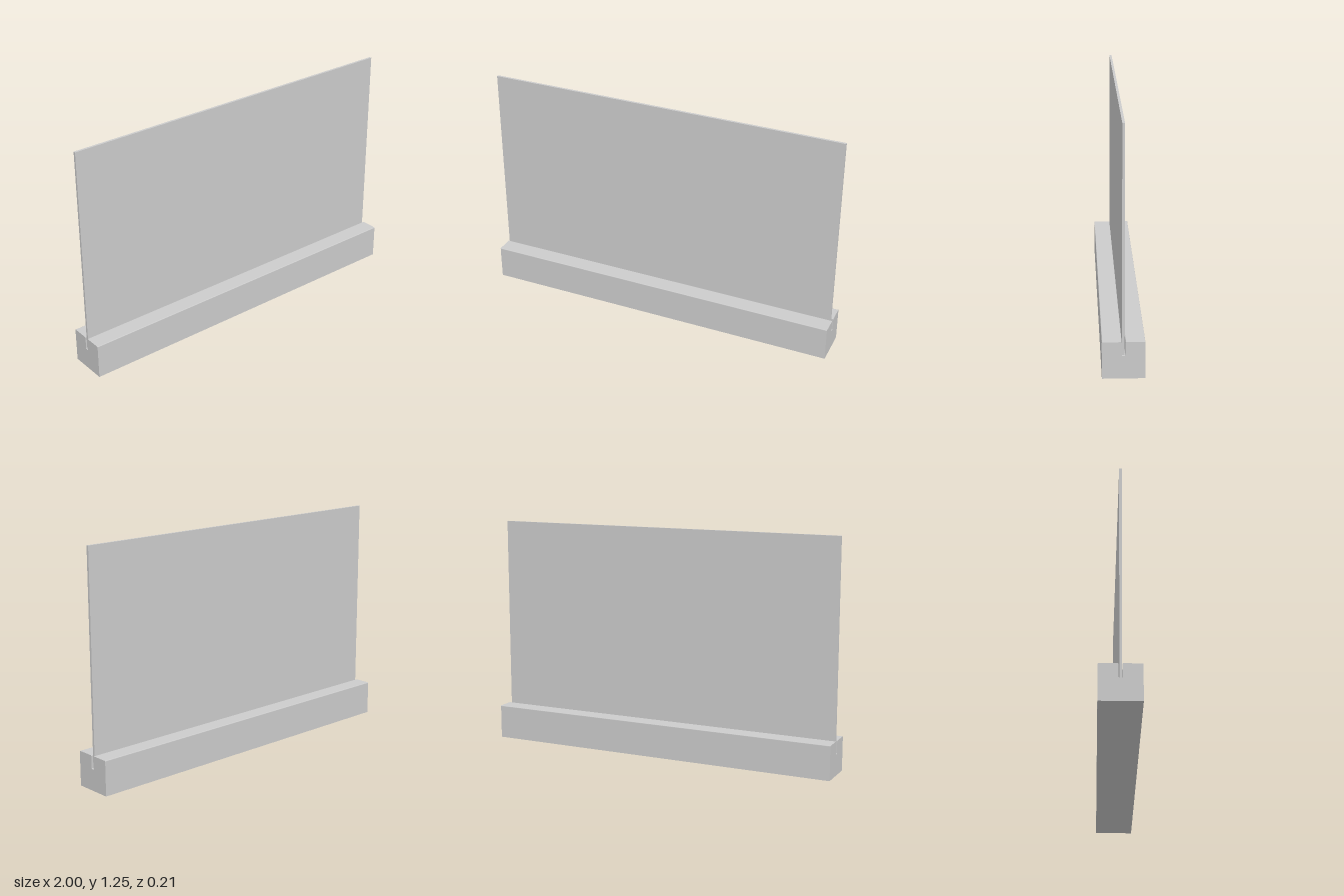
import * as THREE from 'three';

const BASE = { length: 2, height: 0.188, half: 0.105, round: 0.004 };
const SLOT = { half: 0.009, floor: 0.116, round: 0.004 };
const PANEL = { left: -0.995, right: 0.99, bottom: 0.117, top: 1.255, depth: 0.013 };

// Cross-section of the base: a block with softened top edges and a slot for the panel
function baseProfile() {
  const { height: h, half: w, round: r } = BASE;
  const { half: s, floor: f, round: q } = SLOT;
  const p = new THREE.Shape();
  p.moveTo(-w, 0);
  p.lineTo(w, 0);
  p.lineTo(w, h - r);
  p.quadraticCurveTo(w, h, w - r, h);
  p.lineTo(s + r, h);
  p.quadraticCurveTo(s, h, s, h - r);
  p.lineTo(s, f + q);
  p.quadraticCurveTo(s, f, s - q, f);
  p.lineTo(-s + q, f);
  p.quadraticCurveTo(-s, f, -s, f + q);
  p.lineTo(-s, h - r);
  p.quadraticCurveTo(-s, h, -s - r, h);
  p.lineTo(-w + r, h);
  p.quadraticCurveTo(-w, h, -w, h - r);
  p.closePath();
  return p;
}

export function createModel() {
  const group = new THREE.Group();
  group.name = 'panelStand';
  const material = new THREE.MeshStandardMaterial({ color: 0xcccccc });

  // Slotted base running the full width
  const baseGeometry = new THREE.ExtrudeGeometry(baseProfile(), {
    depth: BASE.length, bevelEnabled: false, curveSegments: 4,
  });
  baseGeometry.translate(0, 0, -BASE.length / 2);
  baseGeometry.rotateY(Math.PI / 2);
  const base = new THREE.Mesh(baseGeometry, material);
  base.name = 'slottedBase';

  // Thin upright panel standing in the slot
  const panel = new THREE.Mesh(
    new THREE.BoxGeometry(PANEL.right - PANEL.left, PANEL.top - PANEL.bottom, PANEL.depth),
    material,
  );
  panel.position.set((PANEL.left + PANEL.right) / 2, (PANEL.top + PANEL.bottom) / 2, 0.001);
  panel.name = 'uprightPanel';

  group.add(base, panel);
  return group;
}
